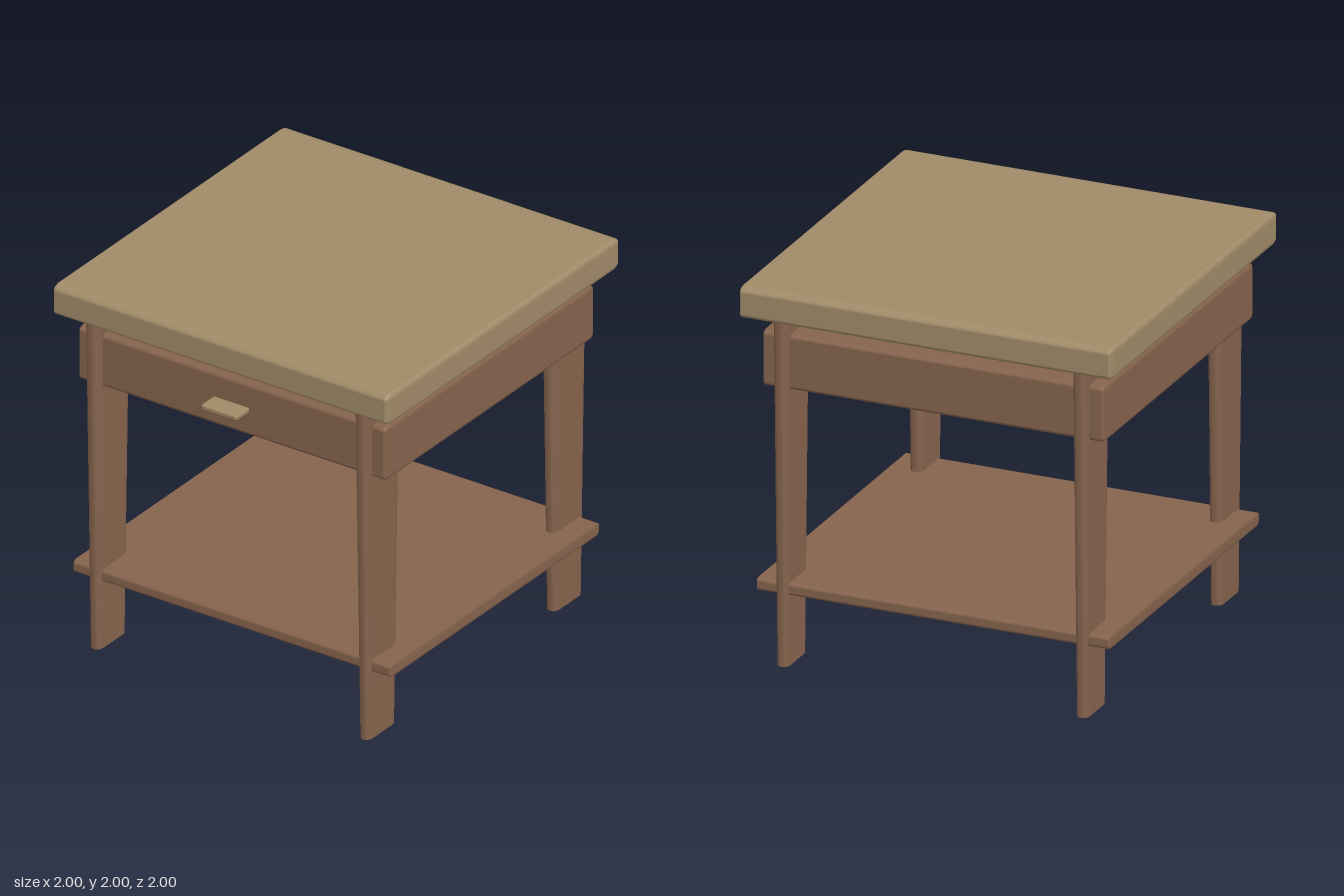
import * as THREE from 'three';
import { RoundedBoxGeometry } from 'three/addons/geometries/RoundedBoxGeometry.js';

const wood = new THREE.MeshStandardMaterial({ color: 0x85634c });
const paleWood = new THREE.MeshStandardMaterial({ color: 0xa08a68 });

// Box between two corners, its edges rounded by a different radius along each axis
function softBox(name, min, max, radii, material) {
  const size = max.map((v, i) => v - min[i]);
  const geometry = new RoundedBoxGeometry(...size.map((s, i) => s / radii[i]), 4, 1);
  geometry.scale(...radii);
  const mesh = new THREE.Mesh(geometry, material);
  mesh.name = name;
  mesh.position.set(...max.map((v, i) => (v + min[i]) / 2));
  return mesh;
}

// Flat leg with rounded narrow edges, widening from foot to top
function legGeometry() {
  const w = 0.032, d = 0.12, rx = 0.025, rz = 0.04, height = 1.84;
  const shape = new THREE.Shape();
  const corners = [[1, 1, 0], [-1, 1, 1], [-1, -1, 2], [1, -1, 3]];
  const points = [];
  for (const [sx, sz, q] of corners) {
    for (let i = 0; i <= 5; i++) {
      const a = (q + i / 5) * Math.PI / 2;
      points.push(new THREE.Vector2(
        sx * (w - rx) + rx * Math.cos(a),
        sz * (d - rz) + rz * Math.sin(a)));
    }
  }
  shape.setFromPoints(points);
  const geometry = new THREE.ExtrudeGeometry(shape, { depth: height, bevelEnabled: false, curveSegments: 1 });
  geometry.rotateX(-Math.PI / 2);
  const p = geometry.attributes.position;
  for (let i = 0; i < p.count; i++) {
    const t = p.getY(i) / height;
    p.setX(i, p.getX(i) * (1 + 0.2 * t));
    p.setZ(i, p.getZ(i) * (1 + 0.31 * t));
  }
  geometry.computeVertexNormals();
  return geometry;
}

export function createModel() {
  const table = new THREE.Group();
  table.name = 'sideTable';

  // Top, drawer case, lower shelf and pull
  table.add(
    softBox('tableTop', [-1, 1.83, -1], [1, 2, 0.995], [0.02, 0.03, 0.06], paleWood),
    softBox('drawerCase', [-0.915, 1.455, -0.9], [0.915, 1.752, 0.892], [0.015, 0.025, 0.04], wood),
    softBox('lowerShelf', [-0.945, 0.37, -0.9], [0.945, 0.44, 0.892], [0.006, 0.02, 0.03], wood),
    softBox('drawerPull', [-0.107, 1.59, 0.86], [0.107, 1.616, 1], [0.012, 0.006, 0.02], paleWood)
  );

  // Four legs
  const geometry = legGeometry();
  for (const [zName, z] of [['front', 0.796], ['back', -0.798]]) {
    for (const [xName, x] of [['Left', 0.802], ['Right', -0.802]]) {
      const leg = new THREE.Mesh(geometry, wood);
      leg.name = `${zName}${xName}Leg`;
      leg.position.set(x, 0, z);
      table.add(leg);
    }
  }
  return table;
}
